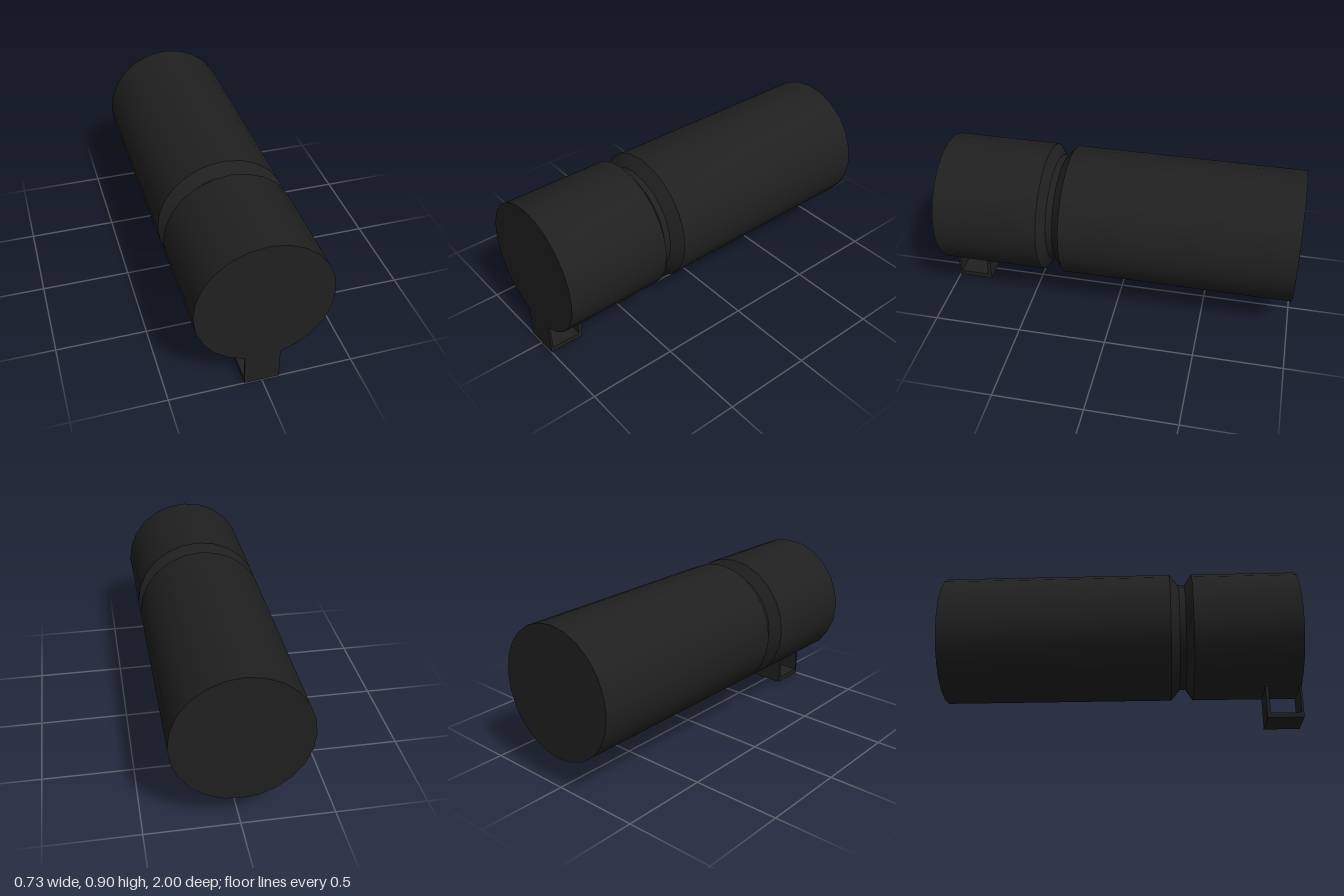
import * as THREE from 'three';
import { toCreasedNormals } from 'three/addons/utils/BufferGeometryUtils.js';

const RADIUS = 0.365, NECK = 0.305, AXIS_Y = 0.535;

export function createModel() {
  const group = new THREE.Group();
  const material = new THREE.MeshStandardMaterial({ color: 0x202020 });

  function add(name, geometry) {
    const mesh = new THREE.Mesh(geometry, material);
    mesh.name = name;
    group.add(mesh);
    return mesh;
  }

  // Closed barrel with a bevelled groove, turned from back to front
  const profile = [
    [0, -1], [RADIUS, -1], [RADIUS, 0.285], [NECK, 0.335],
    [NECK, 0.37], [RADIUS, 0.41], [RADIUS, 1], [0, 1],
  ].map(([r, z]) => new THREE.Vector2(r, z));
  const barrel = new THREE.LatheGeometry(profile, 24);
  barrel.rotateX(Math.PI / 2);
  add('barrel', toCreasedNormals(barrel, Math.PI / 6)).position.y = AXIS_Y;

  // U-shaped mounting loop below the front end, open to both sides
  const width = 0.19;
  const outline = [
    [0.8, 0], [1, 0], [1, 0.195], [0.988, 0.195],
    [0.988, 0.028], [0.82, 0.028], [0.82, 0.195], [0.8, 0.195],
  ].map(([z, y]) => new THREE.Vector2(z, y));
  const loop = new THREE.ExtrudeGeometry(new THREE.Shape(outline), { depth: width, bevelEnabled: false });
  loop.translate(0, 0, -width / 2);
  loop.rotateY(-Math.PI / 2);
  add('mountingLoop', loop);

  return group;
}
